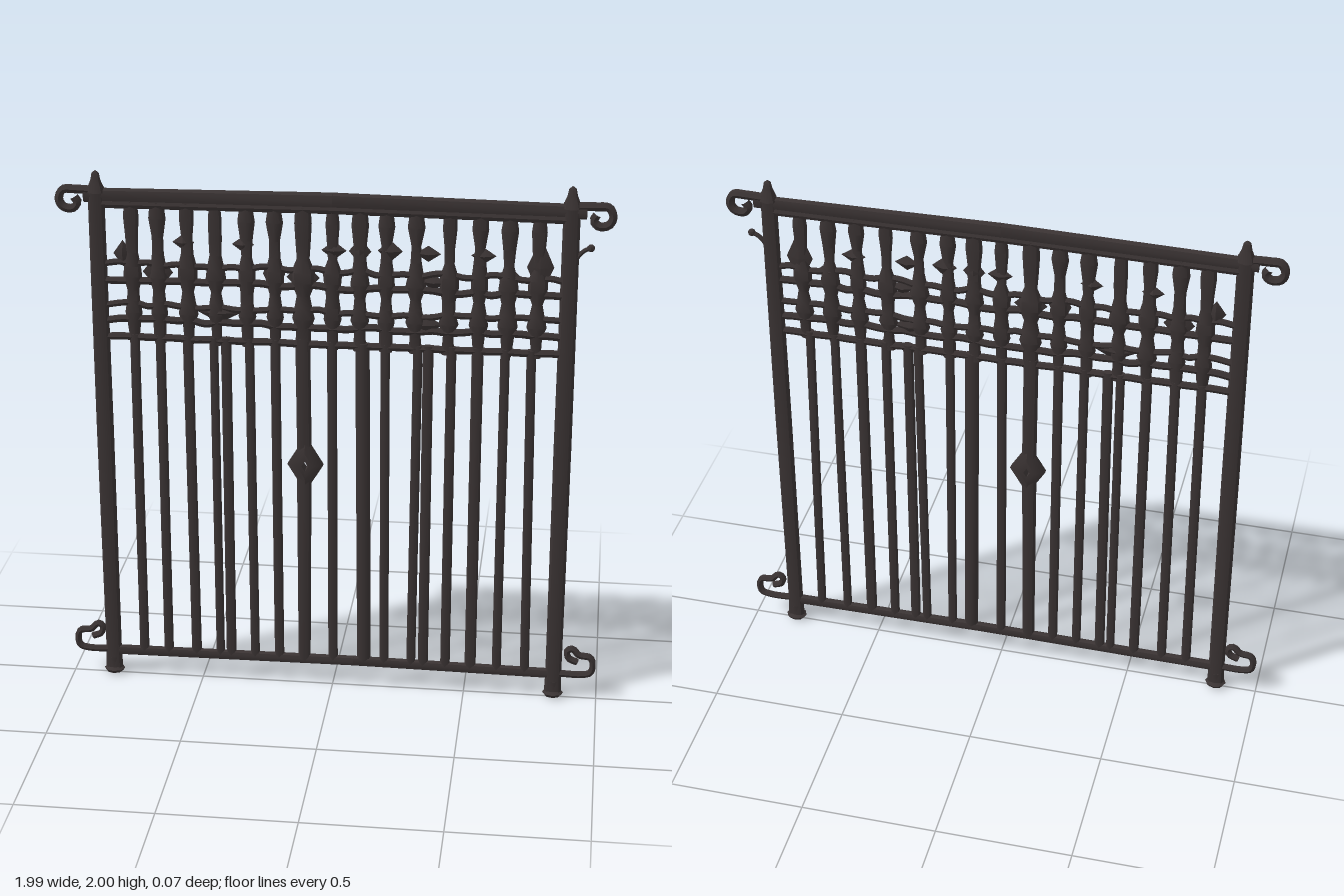
import * as THREE from 'three';
import { toCreasedNormals } from 'three/addons/utils/BufferGeometryUtils.js';

export function createModel() {
  const gate = new THREE.Group();
  gate.name = 'gate';
  const iron = new THREE.MeshStandardMaterial({ color: 0x3a3333 });
  iron.name = 'dark iron';

  let seed = 7;
  const jitter = (a) => {
    seed = (seed * 16807) % 2147483647;
    return (seed / 2147483647 - 0.5) * 2 * a;
  };
  const add = (name, geometry, x = 0, y = 0, z = 0) => {
    const mesh = new THREE.Mesh(toCreasedNormals(geometry, 0.7), iron);
    mesh.name = name;
    mesh.position.set(x, y, z);
    gate.add(mesh);
    return mesh;
  };
  // Straight rod between two points, with half width w and half depth d
  const rod = (name, x0, y0, x1, y1, w, d, w1 = w) => {
    const length = Math.hypot(x1 - x0, y1 - y0);
    const g = new THREE.CylinderGeometry(w1, w, length, 8).scale(1, 1, d / w);
    const mesh = add(name, g, (x0 + x1) / 2, (y0 + y1) / 2);
    mesh.rotation.z = Math.atan2(x0 - x1, y1 - y0);
  };
  const lathe = (points, sides) =>
    new THREE.LatheGeometry(points.map(([r, y]) => new THREE.Vector2(r, y)), sides);
  const tube = (name, points, r, steps) => {
    const curve = new THREE.CatmullRomCurve3(points.map(([x, y]) => new THREE.Vector3(x, y, 0)));
    return add(name, new THREE.TubeGeometry(curve, steps, r, 6));
  };

  // Posts with flared feet and pointed finials, and curled hinges beside them
  for (const side of [-1, 1]) {
    const x = side < 0 ? -0.845 : 0.837;
    add('post', lathe([[0, 0.01], [0.033, 0.01], [0.03, 0.1], [0.032, 1], [0.03, 1.94], [0, 1.94]], 8)
      .scale(1, 1, 0.68), x);
    add('foot', lathe([[0, 0], [0.03, 0.005], [0.04, 0.018], [0.026, 0.028], [0.026, 0.07], [0, 0.07]], 8)
      .scale(1, 1, 0.85), x);
    add('finial', lathe([[0, 1.915], [0.034, 1.92], [0.026, 1.945], [0.018, 1.965], [0.013, 1.99], [0, 2]], 8)
      .scale(1, 1, 0.85), x);
    tube('topCurl', [[0.84, 1.925], [0.92, 1.928], [0.965, 1.925], [0.98, 1.89], [0.965, 1.862],
      [0.93, 1.858], [0.913, 1.88], [0.925, 1.9]].map(([a, b]) => [a * side, b]), 0.016, 28);
    tube('bottomCurl', [[0.84, 0.1], [0.94, 0.098], [0.975, 0.108], [0.983, 0.145], [0.972, 0.172],
      [0.93, 0.18], [0.905, 0.205], [0.886, 0.195], [0.892, 0.165], [0.925, 0.15]]
      .map(([a, b]) => [a * side, b]), 0.013, 34);
  }

  // Small latch on the left post
  tube('latch', [[0.85, 1.72], [0.872, 1.755], [0.89, 1.77], [0.912, 1.778]], 0.008, 10);
  add('latchKnob', new THREE.SphereGeometry(0.014, 8, 6), 0.908, 1.777);

  // Top and bottom rails, each in two halves with a slight bow
  for (const side of [-1, 1]) {
    rod('topRail', 0, 1.917, side * 0.89, 1.908, 0.03, 0.017, 0.027);
    rod('topRailLip', 0, 1.885, side * 0.84, 1.878, 0.017, 0.016);
    rod('bottomRail', 0.08, 0.104, side * 0.845, 0.097, 0.021, 0.015);
  }

  // Lower bars: bottom x, top x, half width
  const bars = [
    [-0.725, -0.722, 0.018], [-0.63, -0.628, 0.018], [-0.522, -0.527, 0.019],
    [-0.43, -0.432, 0.016], [-0.388, -0.387, 0.019], [-0.296, -0.302, 0.017],
    [-0.203, -0.208, 0.018], [0.002, -0.002, 0.018],
    [0.12, 0.108, 0.026], [0.196, 0.19, 0.017], [0.298, 0.308, 0.017], [0.344, 0.345, 0.019],
    [0.428, 0.428, 0.018], [0.523, 0.522, 0.021], [0.622, 0.62, 0.017], [0.728, 0.713, 0.017],
  ];
  for (const [x0, x1, w] of bars) rod('bar', x0, 0.1, x1, 1.39, w, 0.014);

  // Middle bar, split around the pierced diamond boss
  rod('middleBar', -0.107, 0.1, -0.105, 0.86, 0.023, 0.017, 0.027);
  rod('middleBar', -0.104, 0.96, -0.108, 1.4, 0.027, 0.017);
  add('diamondBoss', lathe([[0.012, -0.026], [0.03, -0.026], [0.066, -0.008], [0.066, 0.008],
    [0.03, 0.026], [0.012, 0.026], [0.012, -0.026]], 4)
    .rotateX(Math.PI / 2).scale(1, 1.65, 1), -0.1, 0.908);

  // Upper spindles, knotted where the cross wires pass
  const spindles = [-0.722, -0.628, -0.522, -0.42, -0.308, -0.207, -0.105, 0, 0.098,
    0.192, 0.297, 0.415, 0.522, 0.625, 0.728];
  spindles.forEach((x, i) => {
    const k = i === 6 ? 1.2 : 1;
    const r = (a) => (a + jitter(0.004)) * k;
    add('spindle', lathe([[0, 1.36], [r(0.02), 1.36], [r(0.022), 1.44], [r(0.033), 1.475],
      [r(0.026), 1.52], [r(0.02), 1.56], [r(0.034), 1.61], [r(0.032), 1.65], [r(0.02), 1.7],
      [r(0.021), 1.76], [r(0.028), 1.83], [r(0.022), 1.89], [0, 1.89]], 8)
      .scale(1, 1, 0.55), x);
  });

  // Cross wires: y, radius, waviness
  for (const [y, r, wave] of [[1.378, 0.014, 0.002], [1.445, 0.014, 0.006], [1.503, 0.012, 0.008],
    [1.594, 0.014, 0.007], [1.657, 0.012, 0.009]]) {
    const points = [];
    for (let i = 0; i <= 32; i++) points.push([-0.82 + i * 0.0513, y + jitter(wave)]);
    tube('crossWire', points, r, 96).scale.z = 0.85;
  }

  // Leaf points on the spindles: x, y, half width, half height
  const leaves = [[-0.755, 1.695, 0.035, 0.05], [-0.63, 1.63, 0.055, 0.07], [-0.535, 1.745, 0.04, 0.03],
    [-0.41, 1.485, 0.075, 0.04], [-0.32, 1.745, 0.04, 0.03], [-0.21, 1.64, 0.04, 0.09],
    [-0.105, 1.63, 0.06, 0.06], [0.005, 1.735, 0.045, 0.035], [0.098, 1.735, 0.04, 0.05],
    [0.205, 1.74, 0.045, 0.04], [0.34, 1.735, 0.045, 0.03], [0.335, 1.47, 0.06, 0.04],
    [0.36, 1.63, 0.045, 0.03], [0.535, 1.735, 0.045, 0.03], [0.625, 1.66, 0.045, 0.04],
    [0.735, 1.7, 0.048, 0.11]];
  for (const [x, y, w, h] of leaves) {
    add('leaf', new THREE.OctahedronGeometry(1).scale(w, h, 0.017), x, y);
  }

  return gate;
}
